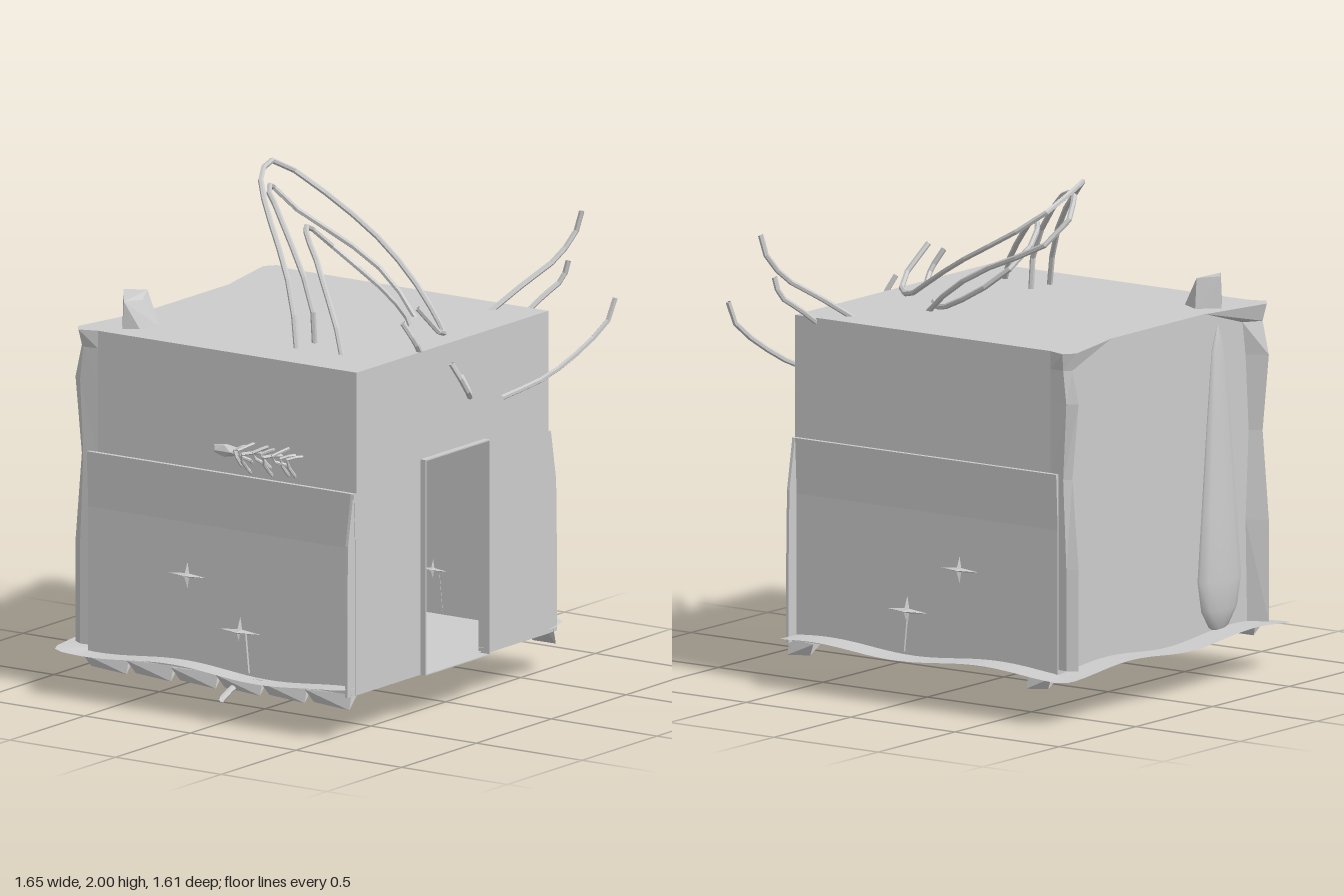
import * as THREE from 'three';
import { ConvexGeometry } from 'three/addons/geometries/ConvexGeometry.js';

const flat = new THREE.MeshStandardMaterial({ color: 0xcccccc, flatShading: true });
const smooth = new THREE.MeshStandardMaterial({ color: 0xcccccc });
const thin = new THREE.MeshStandardMaterial({ color: 0xcccccc, side: THREE.DoubleSide });
const thinFlat = new THREE.MeshStandardMaterial({ color: 0xcccccc, side: THREE.DoubleSide, flatShading: true });

// room extents
const X0 = -0.7, X1 = 0.58, Y0 = 0.17, Y1 = 1.45, Z0 = -0.69, Z1 = 0.575;
const CX = (X0 + X1) / 2, CZ = (Z0 + Z1) / 2, W = X1 - X0, H = Y1 - Y0, D = Z1 - Z0;
const V = (x, y, z) => new THREE.Vector3(x, y, z);

export function createModel() {
  const model = new THREE.Group();
  const add = (name, geo, mat = flat) => {
    const m = new THREE.Mesh(geo, mat);
    m.name = name;
    model.add(m);
    return m;
  };

  // surface through rows of points
  const loft = (rows) => {
    const n = rows[0].length, pos = [], idx = [];
    rows.forEach(r => r.forEach(p => pos.push(p.x, p.y, p.z)));
    for (let i = 0; i < rows.length - 1; i++)
      for (let j = 0; j < n - 1; j++) {
        const a = i * n + j, b = a + n;
        idx.push(a, a + 1, b, b, a + 1, b + 1);
      }
    const g = new THREE.BufferGeometry();
    g.setAttribute('position', new THREE.Float32BufferAttribute(pos, 3));
    g.setIndex(idx);
    g.computeVertexNormals();
    return g;
  };

  // walls, roof and underside without the front (its two triangles are dropped)
  const walls = new THREE.BoxGeometry(W, H, D);
  const index = Array.from(walls.index.array);
  index.splice(24, 6);
  walls.setIndex(index);
  walls.clearGroups();
  add('walls', walls).position.set(CX, (Y0 + Y1) / 2, CZ);

  // front wall with a doorway
  const rect = (T, x0, y0, x1, y1) => {
    const s = new T();
    s.moveTo(x0, y0).lineTo(x1, y0).lineTo(x1, y1).lineTo(x0, y1).closePath();
    return s;
  };
  const front = rect(THREE.Shape, X0, Y0, X1, Y1);
  front.holes.push(rect(THREE.Path, -0.27, Y0 + 0.001, 0.15, 1.02));
  add('frontWall', new THREE.ShapeGeometry(front)).position.z = Z1;

  // thin door surround
  const frame = rect(THREE.Shape, -0.275, Y0, 0.155, 1.025);
  frame.holes.push(rect(THREE.Path, -0.27, Y0 + 0.004, 0.15, 1.02));
  add('doorFrame', new THREE.ExtrudeGeometry(frame, { depth: 0.05, bevelEnabled: false })).position.z = 0.55;

  // uneven floor inside
  const floor = new THREE.PlaneGeometry(W - 0.02, D - 0.02, 8, 8).rotateX(-Math.PI / 2);
  const fp = floor.attributes.position;
  for (let i = 0; i < fp.count; i++)
    fp.setY(i, 0.01 + 0.02 * Math.max(0, -fp.getZ(i)) * (1 + Math.sin(fp.getX(i) * 9)));
  floor.computeVertexNormals();
  add('floor', floor, smooth).position.set(CX, Y0, CZ);

  // lower side panels, and the flange they form at the front edge
  const sideShape = (pts) => new THREE.Shape(pts.map(p => new THREE.Vector2(p[0] + W / 2, p[1])));
  const panelShape = sideShape([[0, Y0], [0.008, Y0], [0.008, 0.75], [0.018, 0.97], [0, 0.97]]);
  const flangeShape = sideShape([[-0.01, Y0], [0.06, Y0], [0.06, 0.5], [0.055, 0.77], [0.02, 0.97], [-0.01, 0.97]]);
  for (const s of [1, -1])
    for (const [name, shape, depth, z] of [['sidePanel', panelShape, D, CZ], ['frontFlange', flangeShape, 0.012, Z1 - 0.008]]) {
      const g = new THREE.ExtrudeGeometry(shape, { depth, bevelEnabled: false });
      g.translate(0, 0, -depth / 2);
      if (s < 0) g.rotateY(Math.PI);
      add(name, g).position.set(CX, 0, z);
    }

  // peeling strips on the rear corners: height, depth, inner width
  const peel = [[1.45, 0.07, 0.33], [1.38, 0.05, 0.09], [1.25, 0.08, 0.07], [0.95, 0.05, 0.05], [0.6, 0.08, 0.07], [0.2, 0.08, 0.06]];
  for (const s of [1, -1]) {
    const rows = peel.map(([y, d, w], i) => [[0.64, 0.04], [i ? 0.646 : 0.665, -d * 0.5], [0.62, -d], [0.64 - w, -0.005]]
      .map(([x, z]) => V(CX + s * x, y, Z0 + z)));
    add('rearCornerStrip', loft(rows), thinFlat);
    add('rearStripCap', loft([rows[0].slice(0, 2), [rows[0][3], rows[0][2]]]), thinFlat);
  }

  // drooping growth on the back wall
  const drop = [[0, 0.18], [0.06, 0.21], [0.11, 0.28], [0.135, 0.4], [0.11, 0.65], [0.075, 1.0], [0.04, 1.3], [0, 1.4]]
    .map(p => new THREE.Vector2(p[0], p[1]));
  const growth = add('backGrowth', new THREE.LatheGeometry(drop, 14), smooth);
  growth.scale.z = 0.42;
  growth.position.set(-0.455, 0, Z0);

  // wavy rounded skirt around the base
  const sk = new THREE.Shape(), r = 0.06, a = -0.8, b = 0.71, c = -0.81, d = Z1;
  sk.moveTo(a + r, c).lineTo(b - r, c).quadraticCurveTo(b, c, b, c + r).lineTo(b, d - r)
    .quadraticCurveTo(b, d, b - r, d).lineTo(a + r, d).quadraticCurveTo(a, d, a, d - r)
    .lineTo(a, c + r).quadraticCurveTo(a, c, a + r, c);
  const outline = sk.getSpacedPoints(120);
  const { clamp } = THREE.MathUtils;
  const ring = (inner) => outline.map((p, i) => {
    const y = 0.19 + 0.013 * Math.sin(i / 120 * Math.PI * 14);
    return inner ? V(clamp(p.x, X0, X1), y, clamp(p.y, Z0, Z1 - 0.005)) : V(p.x, y, p.y);
  });
  add('baseSkirt', loft([ring(true), ring(false)]), thin);

  // jagged fringe under the side edges
  const fringe = (x, out, z0, z1) => add('fringe', loft([
    [V(x, Y0, z0), V(x, Y0, z1)],
    [V(x + out * 0.6, 0.125, z0 + 0.03), V(x + out, 0.12, z1)],
    [V(x + out, 0.175, z0), V(x + out * 0.7, 0.18, z1)]]), thinFlat);
  for (let i = 0; i < 6; i++) fringe(X0, -0.05, Z0 + i * D / 6, Z0 + (i + 1) * D / 6);
  fringe(X1, 0.05, Z0, Z0 + 0.12);
  fringe(X1, 0.05, 0.45, Z1);

  // faceted stub on the roof
  add('roofStub', new ConvexGeometry([[-0.62, 1.44, -0.59], [-0.5, 1.44, -0.675], [-0.43, 1.44, -0.6], [-0.48, 1.44, -0.51],
    [-0.58, 1.44, -0.53], [-0.625, 1.56, -0.58], [-0.5, 1.575, -0.67], [-0.44, 1.57, -0.6], [-0.52, 1.55, -0.565]].map(p => V(...p))));

  // looping and loose cables
  const cable = (name, pts, radius = 0.011) => {
    const curve = new THREE.CatmullRomCurve3(pts.map(p => V(...p)));
    add(name, new THREE.TubeGeometry(curve, pts.length + 2, radius, 6), thinFlat);
  };
  cable('outerCable', [[-0.5, 1.43, 0.15], [-0.45, 1.63, 0.09], [-0.37, 1.78, -0.02], [-0.26, 1.88, -0.15], [-0.13, 1.96, -0.28],
    [0, 1.985, -0.37], [0.13, 1.99, -0.43], [0.25, 1.965, -0.46], [0.33, 1.88, -0.37], [0.35, 1.78, -0.2], [0.32, 1.68, -0.01],
    [0.24, 1.56, 0.2], [0.15, 1.49, 0.34], [0.02, 1.47, 0.47], [-0.1, 1.48, 0.56], [-0.19, 1.54, 0.57], [-0.23, 1.61, 0.53]]);
  cable('middleCable', [[-0.38, 1.43, 0.15], [-0.385, 1.6, 0.14], [-0.35, 1.73, 0.06], [-0.27, 1.85, -0.07], [-0.17, 1.9, -0.18],
    [-0.05, 1.92, -0.3], [0.1, 1.91, -0.4], [0.2, 1.87, -0.45], [0.26, 1.78, -0.38], [0.27, 1.68, -0.15], [0.26, 1.57, 0.05], [0.2, 1.44, 0.22]]);
  cable('innerCable', [[-0.49, 1.43, 0.36], [-0.45, 1.55, 0.3], [-0.35, 1.65, 0.18], [-0.25, 1.73, 0.07], [-0.15, 1.78, -0.04],
    [-0.03, 1.79, -0.14], [0.1, 1.77, -0.22], [0.19, 1.72, -0.24], [0.26, 1.62, -0.15], [0.26, 1.52, 0.02], [0.18, 1.46, 0.18], [0.05, 1.45, 0.3]]);
  cable('shortCable', [[-0.33, 1.57, 0.53], [-0.3, 1.49, 0.57], [-0.25, 1.43, 0.56]]);
  cable('sideCableUpper', [[0.46, 1.44, 0.38], [0.6, 1.54, 0.45], [0.72, 1.62, 0.51], [0.8, 1.72, 0.55], [0.81, 1.8, 0.57]]);
  cable('sideCableMiddle', [[0.56, 1.42, 0.47], [0.64, 1.49, 0.51], [0.71, 1.55, 0.55], [0.72, 1.62, 0.57]]);
  cable('sideCableLower', [[0.27, 1.165, 0.575], [0.45, 1.22, 0.65], [0.58, 1.3, 0.71], [0.71, 1.42, 0.77], [0.73, 1.5, 0.785]]);
  cable('frontCable', [[-0.33, 1.44, 0.76], [-0.29, 1.35, 0.795], [-0.22, 1.29, 0.77], [-0.1, 1.275, 0.68], [0, 1.3, 0.575]]);

  // three-way thorns on the side walls
  const thorn = (x, y, z, size) => [[0.25, 0.6, 0.1], [0.25, 0.1, 1], [0.3, 0.12, 0.3]].forEach(k => {
    const m = add('thorn', new THREE.OctahedronGeometry(size));
    m.scale.set(...k);
    m.position.set(x, y, z);
  });
  for (const x of [X0 - 0.008, X1 + 0.008]) {
    thorn(x, 0.54, -0.22, 0.09);
    thorn(x, 0.35, 0.03, 0.1);
    const stem = add('thornStem', new THREE.BoxGeometry(0.02, 0.16, 0.035));
    stem.position.set(x, 0.27, 0.05);
    stem.rotation.x = -0.1;
  }
  cable('lowRod', [[-0.82, 0.1, 0.02], [-0.75, 0.13, 0.02], [-0.66, 0.15, 0.02]], 0.013);

  // spikes beneath the floor
  const spike = (x, z, tx, ty, tz, w) => add('floorSpike', new ConvexGeometry([V(x - w, 0.25, z), V(x + w, 0.22, z - w),
    V(x + w * 0.5, 0.25, z + w), V(tx, ty, tz)]));
  spike(-0.08, -0.07, -0.06, 0, 0, 0.05);
  spike(-0.01, -0.13, 0.02, 0.1, -0.05, 0.03);
  spike(-0.54, 0.3, -0.55, 0.12, 0.31, 0.03);
  spike(-0.46, 0.4, -0.47, 0.15, 0.41, 0.03);

  // tangled roots through the wall, ribs hanging inside, and one thick root to the floor
  for (let i = 0; i < 9; i++) {
    const z = 0.03 + i * 0.033, k = Math.sin(i * 2.3);
    cable('root', [[-0.66, 0.97 + 0.03 * k, z], [-0.71, 1.02 + 0.02 * k, z + 0.03 * k], [-0.72 - 0.05 * Math.abs(k), 1.07, z - 0.02],
      [-0.69, 1.09 + 0.02 * k, z + 0.03]], 0.007);
    cable('innerRib', [[-0.66, 1.0, z - 0.1], [-0.6, 0.75, z - 0.13], [-0.62, 0.5, z - 0.15], [-0.5, 0.3, z - 0.16]], 0.018);
    cable('ceilingRib', [[-0.04 + i * 0.025, 1.04, -0.6], [-0.03 + i * 0.025, 0.99 - i * 0.01, -0.62]], 0.006);
  }
  cable('thickRoot', [[-0.3, 0.7, -0.35], [-0.25, 0.5, -0.3], [-0.16, 0.4, -0.25], [-0.1, 0.32, -0.18], [-0.06, 0.2, -0.1]], 0.03);
  const knot = add('rootKnot', new THREE.IcosahedronGeometry(0.07));
  knot.scale.set(0.5, 0.4, 1);
  knot.position.set(-0.7, 1.06, -0.04);

  // rubble inside
  [[-0.2, 0.3, 0.05], [-0.13, 0.15, 0.05], [-0.3, 0, 0.06], [-0.4, 0.25, 0.06], [-0.35, -0.3, 0.1]].forEach(([x, z, s], i) => {
    const m = add('rubble', new THREE.DodecahedronGeometry(s));
    m.position.set(x, Y0 + s * 0.8, z);
    m.rotation.set(i, i * 2, 0);
  });
  return model;
}
